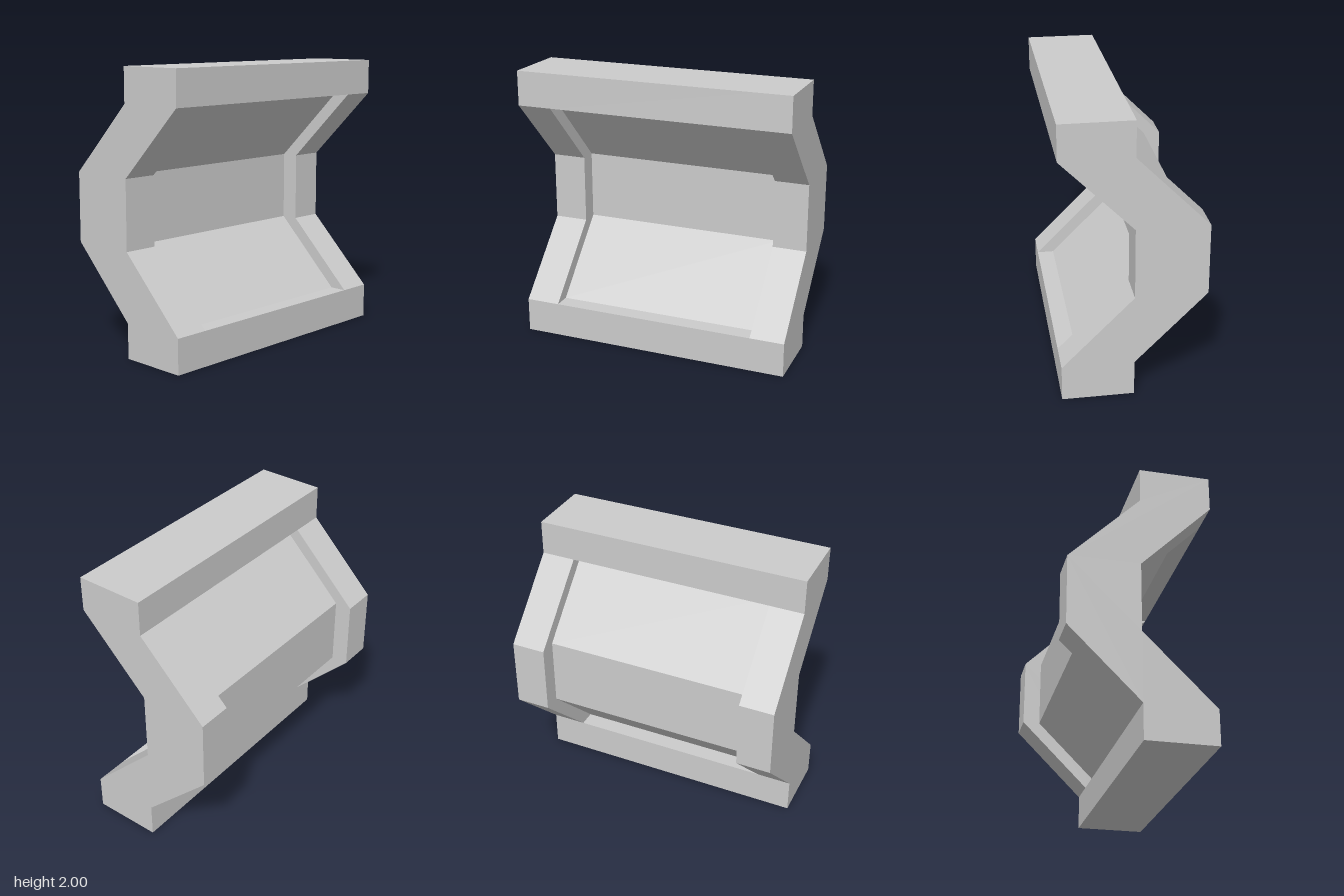
import * as THREE from 'three';

const material = new THREE.MeshStandardMaterial({ color: 0xcccccc, flatShading: true });

// Extrudes a side profile of [z, y] points across x, centred on x = 0.
function extrudeProfile(points, width) {
  const shape = new THREE.Shape(points.map(([z, y]) => new THREE.Vector2(-z, y)));
  const geometry = new THREE.ExtrudeGeometry(shape, { depth: width, bevelEnabled: false });
  geometry.translate(0, 0, -width / 2);
  geometry.rotateY(Math.PI / 2);
  return geometry;
}

// Bent band: front edge going up, back edge coming down.
function bentBand(front, back) {
  const edge = (z) => [[z, 0.25], [z - 0.5, 0.75], [z - 0.5, 1.25], [z, 1.75]];
  return [...edge(front), ...edge(back).reverse()];
}

export function createModel() {
  const group = new THREE.Group();
  const add = (name, geometry, x = 0, y = 0, z = 0) => {
    const mesh = new THREE.Mesh(geometry, material);
    mesh.name = name;
    mesh.position.set(x, y, z);
    group.add(mesh);
  };

  // End frames with the full bent outline
  const outline = bentBand(0.5, 0);
  outline.splice(4, 0, [0.5, 2], [0, 2]);
  outline.push([0, 0], [0.5, 0]);
  const frame = extrudeProfile(outline, 0.25);
  add('leftFrame', frame, 0.875);
  add('rightFrame', frame, -0.875);

  // Straight rails joining the frames at top and bottom
  const rail = new THREE.BoxGeometry(1.5, 0.25, 0.5);
  add('bottomRail', rail, 0, 0.125, 0.25);
  add('topRail', rail, 0, 1.875, 0.25);

  // Thinner panel, recessed equally on front and back
  add('panel', extrudeProfile(bentBand(0.375, 0.125), 1.5));

  return group;
}
